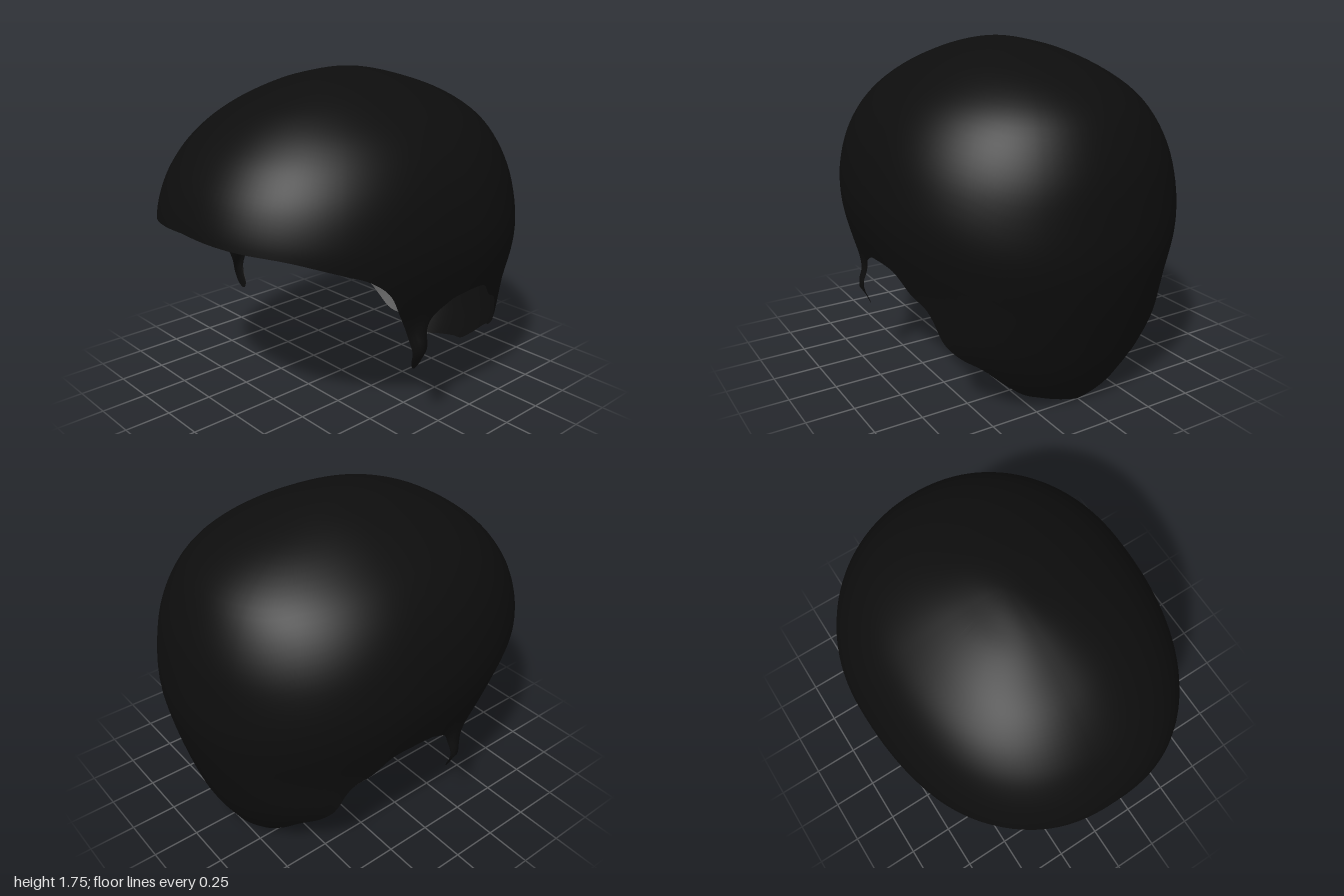
import * as THREE from 'three';
import { mergeVertices } from 'three/addons/utils/BufferGeometryUtils.js';

const TOP = 1.75;
const angleAt = (y) => Math.acos(Math.min(1, Math.max(0, y / TOP)));

// Smooth interpolation of [height, value] pairs, measured by angle from the crown
function profile(pairs) {
  const q = pairs.map((p) => angleAt(p[0]));
  const v = pairs.map((p) => p[1]);
  const n = q.length;
  const slope = q.map((_, i) => {
    const a = Math.max(0, i - 1), b = Math.min(n - 1, i + 1);
    return (v[b] - v[a]) / (q[b] - q[a]);
  });
  return (y) => {
    const x = angleAt(y);
    let i = 0;
    while (i < n - 2 && x > q[i + 1]) i++;
    const h = q[i + 1] - q[i], t = (x - q[i]) / h, t2 = t * t, t3 = t2 * t;
    return (2 * t3 - 3 * t2 + 1) * v[i] + (t3 - 2 * t2 + t) * h * slope[i]
      + (3 * t2 - 2 * t3) * v[i + 1] + (t3 - t2) * h * slope[i + 1];
  };
}

// Outlines of the cap: forward, backward and sideways reach at each height
const front = profile([[1.75, 0], [1.73, 0.2], [1.67, 0.4], [1.58, 0.6], [1.43, 0.8],
  [1.31, 0.9], [1.2, 0.96], [1.06, 1], [0.9, 1], [0, 1]]);
const back = profile([[1.75, 0], [1.7, 0.32], [1.6, 0.6], [1.5, 0.76], [1.4, 0.85], [1.2, 0.945],
  [1, 0.985], [0.8, 1], [0.6, 0.97], [0.4, 0.92], [0.2, 0.86], [0.1, 0.81], [0, 0.75]]);
const side = profile([[1.75, 0], [1.73, 0.14], [1.7, 0.25], [1.6, 0.46], [1.5, 0.6], [1.4, 0.69],
  [1.3, 0.75], [1.2, 0.79], [1.1, 0.815], [1, 0.83], [0.9, 0.83], [0.8, 0.815], [0.7, 0.79],
  [0.6, 0.765], [0.5, 0.755], [0.35, 0.735], [0.2, 0.64], [0.1, 0.55], [0, 0.48]]);
const middle = (y) => -0.15 * Math.sin(angleAt(y));
const reach = (y, forward) => (forward ? front(y) - middle(y) : back(y) + middle(y));

// Point on the left half; phi runs from PI/2 (front) to -PI/2 (back)
function surface(phi, y) {
  const s = Math.sin(phi), n = s > 0 ? 2.3 : 2.1;
  const z = middle(y) + s * reach(y, s > 0);
  let x = side(y) * Math.pow(Math.max(0, 1 - Math.pow(Math.abs(s), n)), 1 / n);
  if (Math.abs(phi) > Math.PI / 2 - 1e-6) x = 0;
  // sideburn curls outward
  if (z > 0 && y < 0.7) x += 0.047 * Math.exp(-(((z - 0.16) / 0.05) ** 2) - ((y - 0.475) / 0.065) ** 2);
  return [x, y, z];
}

// Hairline [z, y]: fringe, temple, sideburn, ear, nape
const hairline = [[1, 1.06], [0.95, 1.04], [0.8, 1.012], [0.6, 0.94], [0.48, 0.89], [0.38, 0.81],
  [0.3, 0.68], [0.24, 0.57], [0.21, 0.47], [0.19, 0.375], [0.165, 0.345], [0.145, 0.36],
  [0.13, 0.46], [0.115, 0.55], [0.08, 0.62], [0, 0.67], [-0.05, 0.69], [-0.28, 0.69], [-0.38, 0.6],
  [-0.48, 0.54], [-0.55, 0.38], [-0.6, 0.31], [-0.66, 0.26], [-0.7, 0.1], [-0.74, 0.06], [-0.75, 0]];

function hairGeometry(columns, rows) {
  const rim = new THREE.CatmullRomCurve3(hairline.map(([z, y]) => {
    const d = z - middle(y);
    const s = Math.max(-1, Math.min(1, d / reach(y, d > 0)));
    return new THREE.Vector3(Math.asin(s), y, 0);
  }), false, 'centripetal');

  const positions = [], index = [];
  for (const mirror of [1, -1]) {
    const base = positions.length / 3;
    for (let i = 0; i <= columns; i++) {
      const edge = rim.getPoint(i / columns);
      const phi = i === 0 ? Math.PI / 2 : i === columns ? -Math.PI / 2 : edge.x;
      for (let j = 0; j <= rows; j++) {
        const y = j === 0 ? TOP : edge.y + (TOP - edge.y) * Math.cos((j / rows) * Math.PI / 2);
        const [px, py, pz] = j === 0 ? [0, TOP, 0] : surface(phi, y);
        positions.push(mirror * px, py, pz);
      }
    }
    for (let i = 0; i < columns; i++) {
      for (let j = 0; j < rows; j++) {
        const a = base + i * (rows + 1) + j, b = a + 1, c = a + rows + 1, d = c + 1;
        const tris = j === 0 ? [[a, b, d]] : [[a, b, c], [b, d, c]];
        for (const [p, q, r] of tris) index.push(...(mirror > 0 ? [p, q, r] : [p, r, q]));
      }
    }
  }
  const geometry = new THREE.BufferGeometry();
  geometry.setAttribute('position', new THREE.Float32BufferAttribute(positions, 3));
  geometry.setIndex(index);
  const merged = mergeVertices(geometry, 1e-5);
  merged.computeVertexNormals();
  return merged;
}

export function createModel() {
  const group = new THREE.Group();
  group.name = 'hairCap';
  const black = new THREE.MeshStandardMaterial({ color: 0x0d0d0d, side: THREE.DoubleSide });
  black.name = 'hair black';
  const hair = new THREE.Mesh(hairGeometry(150, 40), black);
  hair.name = 'hair';
  group.add(hair);
  return group;
}
